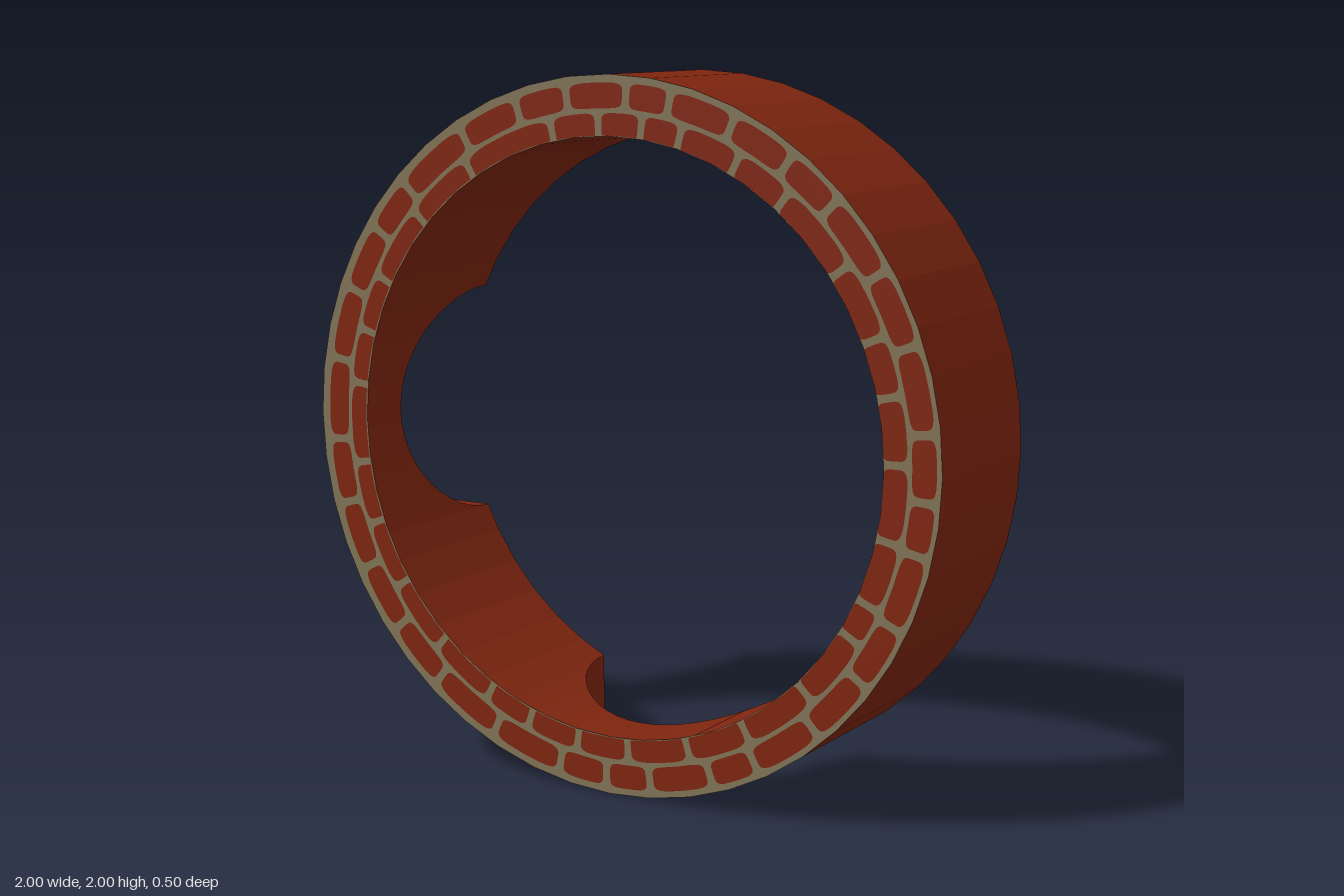
import * as THREE from 'three';
import { mergeGeometries } from 'three/addons/utils/BufferGeometryUtils.js';

const OUTER = 1, INNER = 0.835, HALF = 0.25, NOTCH = 0.34;
const RAD = Math.PI / 180;

// Columns around the ring: inner angle, outer angle and where the wall ends at the back
function ringColumns() {
  const columns = [];
  const plain = (from, to) => {
    for (let a = from; a <= to; a += 7.5) columns.push({ inner: a * RAD, outer: a * RAD, back: -HALF });
  };
  // Half-round notch, cut straight through the wall
  const notch = (centre) => {
    const steps = 24;
    for (let i = 0; i <= steps; i++) {
      const t = (i / steps) * Math.PI;
      const across = -NOTCH * Math.cos(t);
      columns.push({
        inner: centre * RAD + Math.asin(across / INNER),
        outer: centre * RAD + Math.asin(across / OUTER),
        back: -HALF + NOTCH * Math.sin(t),
      });
    }
  };
  plain(210, 240);
  notch(270);
  plain(300, 510);
  notch(540);
  columns.push({ inner: 570 * RAD, outer: 570 * RAD, back: -HALF });
  return columns;
}

// Outer wall, inner wall and back edge as quads between neighbouring columns
function wallGeometry() {
  const positions = [];
  const point = (r, a, z) => [r * Math.cos(a), r * Math.sin(a), z];
  const quad = (a, b, c, d) => positions.push(...a, ...b, ...c, ...a, ...c, ...d);
  const columns = ringColumns();
  for (let i = 0; i < columns.length - 1; i++) {
    const [p, q] = [columns[i], columns[i + 1]];
    const corners = (c) => ({
      of: point(OUTER, c.outer, HALF), ob: point(OUTER, c.outer, c.back),
      nf: point(INNER, c.inner, HALF), nb: point(INNER, c.inner, c.back),
    });
    const [s, e] = [corners(p), corners(q)];
    quad(s.ob, e.ob, e.of, s.of);
    quad(s.nf, e.nf, e.nb, s.nb);
    quad(s.nb, e.nb, e.ob, s.ob);
  }
  const geometry = new THREE.BufferGeometry();
  geometry.setAttribute('position', new THREE.Float32BufferAttribute(positions, 3));
  geometry.computeVertexNormals();
  return geometry;
}

// One curved brick face with rounded corners
function brickGeometry(start, end, low, high) {
  const points = [];
  const soft = (v) => Math.sign(v) * Math.abs(v) ** 0.4;
  const gap = 0.7;
  const middle = (start + end) / 2, half = (end - start) / 2 - gap;
  for (let i = 0; i < 40; i++) {
    const t = (i / 40) * Math.PI * 2;
    const a = (middle + half * soft(Math.cos(t))) * RAD;
    const shift = 0.008 * Math.cos(a);
    const r = (low + high) / 2 + ((high - low) / 2) * soft(Math.sin(t)) + shift;
    // Counter-clockwise seen from the front
    const radius = Math.max(r, INNER + 0.001);
    points.push(new THREE.Vector2(radius * Math.cos(a), radius * Math.sin(a)));
  }
  return new THREE.ShapeGeometry(new THREE.Shape(points));
}

// A course of bricks from the angles of its joints
function courseGeometry(joints, low, high) {
  const bricks = joints.map((start, i) => {
    const end = i + 1 < joints.length ? joints[i + 1] : joints[0] + 360;
    return brickGeometry(start, end, low, high);
  });
  return mergeGeometries(bricks);
}

export function createModel() {
  const red = new THREE.MeshStandardMaterial({ color: 0x7e250f });
  red.name = 'brickRed';
  const grey = new THREE.MeshStandardMaterial({ color: 0x807256 });
  grey.name = 'mortar';

  const model = new THREE.Group();
  model.name = 'brickRing';
  const add = (name, geometry, material, z = 0) => {
    const mesh = new THREE.Mesh(geometry, material);
    mesh.name = name;
    mesh.position.set(0, 1, z);
    model.add(mesh);
  };

  add('ringWall', wallGeometry(), red);
  add('mortarFace', new THREE.RingGeometry(INNER, OUTER, 48), grey, HALF);

  // Joint angles in degrees, counter-clockwise from the right of the face
  const outerJoints = [-175.5, -164, -152, -140, -128, -114, -100, -90.6, -82, -70, -61, -48,
    -36, -25, -12.5, -4, 6.5, 20, 32, 45, 55, 66.4, 78.3, 86.5, 98, 108, 120, 135, 145, 157, 170];
  const innerJoints = [-171, -159, -146, -132, -118, -108, -97, -86, -73, -60, -45, -31, -24,
    -12, 1.5, 13, 23, 36, 52, 63, 75, 83, 92, 102, 122, 137, 152, 163, 173.5];
  add('outerBricks', courseGeometry(outerJoints, 0.909, 0.978), red, HALF + 0.003);
  add('innerBricks', courseGeometry(innerJoints, 0.822, 0.897), red, HALF + 0.003);
  return model;
}
